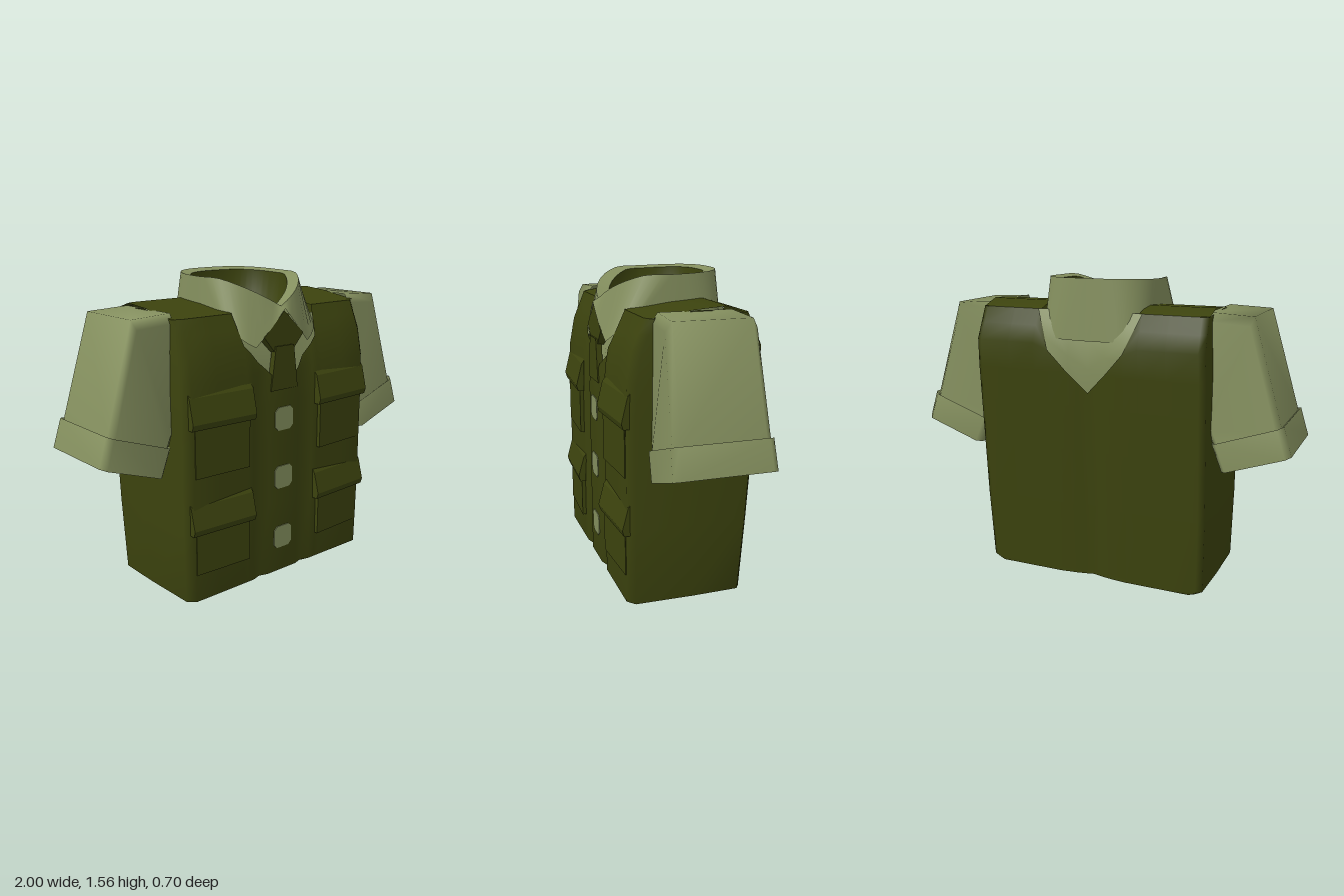
import * as THREE from 'three';
import { mergeVertices } from 'three/addons/utils/BufferGeometryUtils.js';

const mat = (name, color) => new THREE.MeshStandardMaterial({ name, color, side: THREE.DoubleSide });

// piecewise linear lookup in a list of [key, value]
function interp(table, k) {
  if (k <= table[0][0]) return table[0][1];
  for (let i = 1; i < table.length; i++) {
    const [a, va] = table[i - 1], [b, vb] = table[i];
    if (k <= b) return va + (vb - va) * (k - a) / (b - a);
  }
  return table[table.length - 1][1];
}

// smooth surface through rows of points
function surface(rows, closed = false) {
  const n = rows[0].length, index = [];
  const cols = closed ? n : n - 1;
  for (let r = 0; r < rows.length - 1; r++) {
    for (let c = 0; c < cols; c++) {
      const a = r * n + c, b = r * n + (c + 1) % n;
      index.push(a, b, b + n, a, b + n, a + n);
    }
  }
  let g = new THREE.BufferGeometry();
  g.setAttribute('position', new THREE.Float32BufferAttribute(rows.flat(2), 3));
  g.setIndex(index);
  g = mergeVertices(g, 1e-5);
  g.computeVertexNormals();
  return g;
}

function extrude(points, depth) {
  const shape = new THREE.Shape(points.map(p => new THREE.Vector2(...p)));
  return new THREE.ExtrudeGeometry(shape, { depth, bevelEnabled: false });
}

// torso profiles by height
const frontZ = y => interp([[0, 0.27], [0.02, 0.31], [0.93, 0.31], [1.1, 0.305], [1.24, 0.28], [1.39, 0.22]], y);
const backZ = y => interp([[0, -0.27], [1.24, -0.35], [1.4, -0.28]], y);
const widthScale = y => interp([[0, 0.92], [0.02, 0.985], [0.4, 1], [1.1, 1], [1.43, 0.98]], y);
const groove = x => interp([[0, 0.03], [0.08, 0.012], [0.2, 0]], Math.abs(x));
const frontFold = x => interp([[0.1, 0], [0.15, 0.015], [0.2, 0]], Math.abs(x));
// neckline heights
const frontNeck = x => interp([[0, 1.0], [0.24, 1.24], [0.27, 1.39]], Math.abs(x));
const backNeck = x => interp([[0, 1.0], [0.1, 1.1], [0.2, 1.21], [0.28, 1.4]], Math.abs(x));

export function createModel() {
  const model = new THREE.Group();
  model.name = 'vestAndShirt';
  const vest = mat('darkOlive', 0x3c430e);
  const shirt = mat('paleOlive', 0x848f5e);
  const add = (name, geometry, material, parent = model) => {
    const m = new THREE.Mesh(geometry, material);
    m.name = name;
    parent.add(m);
    return m;
  };

  // vest body: one ring of columns, each running up to the neckline
  const half = [
    ...[0, 0.1, 0.15, 0.2, 0.24, 0.27, 0.42, 0.57].map(x =>
      ({ x, top: frontNeck(x), z: y => frontZ(y) - frontFold(x) })),
    { x: 0.61, top: 1.39, z: y => frontZ(y) - 0.035 },
    { x: 0.615, top: 1.42, z: () => -0.02 },
    { x: 0.61, top: 1.4, z: y => backZ(y) + 0.02 },
    ...[0.58, 0.42, 0.28, 0.2, 0.1, 0.05, 0].map(x =>
      ({ x, top: backNeck(x), z: y => backZ(y) + groove(x) })),
  ];
  const ring = [...half, ...half.slice(1, -1).reverse().map(c => ({ ...c, x: -c.x }))];
  const heights = [0, 0.02, 0.4, 0.7, 0.93, 1.1, 1.24, 1.32, 1.43];
  add('vestBody', surface(heights.map(h => ring.map(c => {
    const y = Math.min(h, c.top);
    return [c.x * widthScale(y), y, c.z(y)];
  })), true), vest);

  // shirt showing in the front and back necklines
  const neckX = [-0.29, -0.2, -0.1, 0, 0.1, 0.2, 0.29];
  add('shirtFront', surface([0, 0.5, 1].map(t => neckX.map(x => {
    const low = Math.min(frontNeck(x), 1.25) - 0.03, y = low + (1.35 - low) * t;
    return [x, y, frontZ(y) - 0.018];
  }))), shirt);
  add('shirtBack', surface([0, 0.35, 0.7, 1].map(t => neckX.map(x => {
    const low = Math.min(backNeck(x), 1.3) - 0.03, y = low + (1.4 - low) * t;
    return [x, y, backZ(y) + groove(x) + 0.012];
  }))), shirt);

  // folded collar, rim and dark lining: squarer at the back, rounder at the front
  const angles = Array.from({ length: 40 }, (_, i) => i / 40 * Math.PI * 2);
  const power = (v, e) => Math.sign(v) * Math.pow(Math.abs(v), e);
  const oval = (a, rx, rz, y, frontPower = 1, backPower = 0.75) => {
    const s = Math.sin(a), c = Math.cos(a);
    return [rx * (c < 0 ? power(s, backPower) : s), y,
      -0.015 + rz * power(c, c < 0 ? backPower : frontPower)];
  };
  const collarTop = a => Math.cos(a) > 0
    ? 1.41 + 0.14 * Math.min(1, Math.abs(Math.sin(a)) / 0.92)
    : 1.55 - 0.01 * Math.cos(a);
  const collarLow = a => Math.cos(a) > 0
    ? interp([[0, 1.4], [0.36, 1.29], [0.6, 1.22], [0.97, 1.3], [1, 1.32]], Math.abs(Math.sin(a)))
    : 1.32 + 0.06 * Math.cos(a);
  const lowEdge = angles.map(a => oval(a, 0.292, Math.cos(a) > 0 ? 0.325 : 0.308, collarLow(a), 0.25, 0.5));
  const topEdge = angles.map(a => oval(a, 0.283, 0.295, collarTop(a)));
  const rim = angles.map(a => oval(a, 0.245, 0.235, collarTop(a) - 0.012, 1.25));
  add('collar', surface([lowEdge, topEdge], true), shirt);
  add('collarRim', surface([topEdge, rim], true), shirt);
  add('collarLining', surface([rim, angles.map(a => oval(a, 0.23, 0.22, 1.33, 1.2)),
    angles.map(() => [0, 1.25, -0.015])], true), vest);

  // tie
  const tie = new THREE.Group();
  tie.name = 'tie';
  model.add(tie);
  add('tieKnot', extrude([[-0.06, 1.19], [0.06, 1.19], [0.13, 1.27], [0, 1.39], [-0.13, 1.27]], 0.05), vest, tie)
    .position.z = 0.255;
  add('tieBlade', extrude([[-0.09, 1.0], [0.09, 1.0], [0.06, 1.22], [-0.06, 1.22]], 0.03), vest, tie)
    .position.z = 0.283;

  // buttons
  const b = 0.06, k = 0.04;
  const buttonShape = [[-b, -k], [-k, -b], [k, -b], [b, -k], [b, k], [k, b], [-k, b], [-b, k]];
  for (const y of [0.85, 0.54, 0.21]) {
    add('button', extrude(buttonShape, 0.009), shirt).position.set(0, y, 0.3055);
  }

  for (const side of [1, -1]) {
    const group = new THREE.Group();
    group.name = side > 0 ? 'leftSide' : 'rightSide';
    group.scale.x = side;
    model.add(group);

    // shoulder strap
    add('shoulder', surface([[0.26, 1], [0.56, 1], [0.6, 0.9]].map(([x, s]) =>
      [[0.22, 1.39], [0, 1.42], [-0.17, 1.432], [-0.28, 1.4]].map(([z, y]) => [x, y, z * s]))), vest, group);

    // sleeve rings: outer point, inner point, half depth
    const section = [[1, 0.87], [0.85, 1], [-0.85, 1], [-1, 0.87], [-1, -0.87], [-0.85, -1], [0.85, -1], [1, -0.87]];
    const sleeveRing = ([ox, oy, ix, iy, d]) => section.map(([w, z]) => [
      (ox + ix) / 2 + w * (ox - ix) / 2, (oy + iy) / 2 + w * (oy - iy) / 2, -0.015 + z * d]);
    add('sleeve', surface([
      [0.58, 1.415, 0.58, 0.82, 0.205], [0.795, 1.405, 0.6, 0.81, 0.213], [0.945, 0.9, 0.63, 0.78, 0.228],
    ].map(sleeveRing), true), shirt, group);
    const cuffEnd = sleeveRing([1.0, 0.77, 0.67, 0.655, 0.243]);
    add('cuff', surface([sleeveRing([0.945, 0.9, 0.63, 0.78, 0.228]),
      sleeveRing([0.957, 0.91, 0.615, 0.79, 0.238]), cuffEnd], true), shirt, group);
    add('cuffEnd', surface([cuffEnd, cuffEnd.map(() => [0.835, 0.715, -0.015])], true), shirt, group);

    // pockets with wedge-shaped flaps
    const pockets = new THREE.Group();
    pockets.name = 'pockets';
    pockets.position.set(0.385, 0, 0);
    pockets.rotation.y = 0.05;
    group.add(pockets);
    for (const [low, mid, high] of [[0.66, 0.89, 1.06], [0.17, 0.37, 0.53]]) {
      const pocket = add('pocket', new THREE.BoxGeometry(0.32, mid - low + 0.02, 0.02), vest, pockets);
      pocket.position.set(0, (low + mid) / 2, 0.313);
      const flap = add('pocketFlap',
        extrude([[-0.305, mid], [-0.336, mid], [-0.345, mid + 0.03], [-0.315, high - 0.02], [-0.3, high]], 0.37),
        vest, pockets);
      flap.rotation.y = Math.PI / 2;
      flap.position.x = -0.185;
    }
  }
  return model;
}
